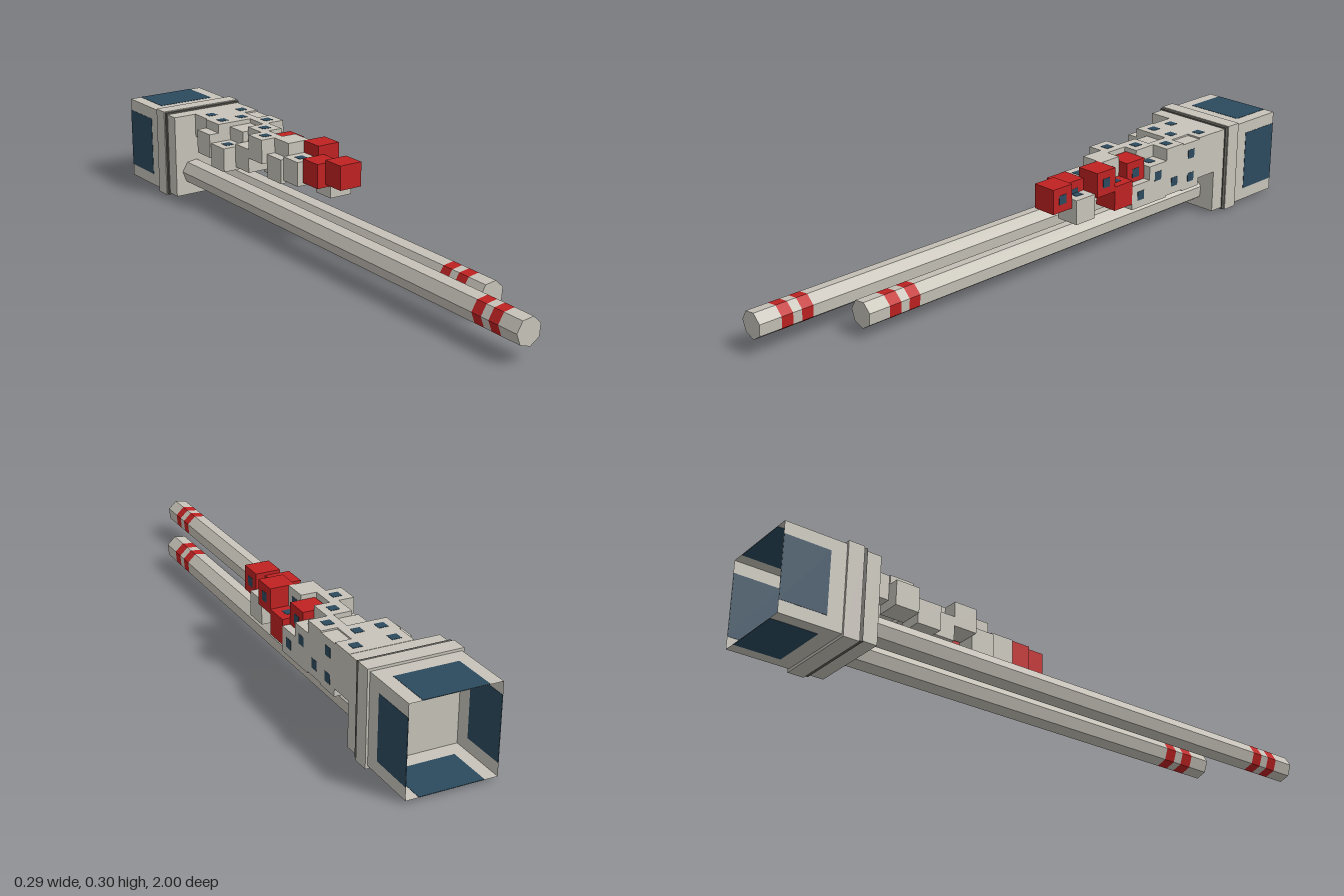
import * as THREE from 'three';

const mat = (color, extra = {}) =>
  new THREE.MeshStandardMaterial({ color, flatShading: true, ...extra });

export function createModel() {
  const model = new THREE.Group();
  const grey = mat(0xc8c4ba);
  const shell = mat(0xc8c4ba, { side: THREE.DoubleSide });
  const dark = mat(0x5f5d57);
  const red = mat(0xc02222);
  const glass = mat(0x2c4a5e);

  const add = (name, geometry, material, x, y, z, parent = model) => {
    const mesh = new THREE.Mesh(geometry, material);
    mesh.name = name;
    mesh.position.set(x, y, z);
    parent.add(mesh);
    return mesh;
  };
  const box = (name, w, h, d, material, x, y, z, parent) =>
    add(name, new THREE.BoxGeometry(w, h, d), material, x, y, z, parent);

  // Square housing, open at the back
  const tube = new THREE.CylinderGeometry(0.14 * Math.SQRT2, 0.14 * Math.SQRT2, 0.2, 4, 1, true, Math.PI / 4);
  tube.rotateX(Math.PI / 2);
  add('housing', tube, shell, 0, 0.149, -0.9);

  // Collar, dark gasket and front block
  box('collar', 0.294, 0.297, 0.052, grey, 0, 0.1485, -0.776);
  box('gasket', 0.288, 0.29, 0.012, dark, 0, 0.149, -0.744);
  box('frontBlock', 0.28, 0.28, 0.05, grey, 0, 0.149, -0.715);

  // Large panels on the four housing sides
  for (const s of [-1, 1]) {
    box('sidePanel', 0.002, 0.2, 0.147, glass, s * 0.14, 0.149, -0.9255);
    box('flatPanel', 0.2, 0.002, 0.147, glass, 0, 0.149 + s * 0.14, -0.9255);
  }

  // Seven-sided rods, each split into plain and red lengths
  const rod = (name, x, y, stops) => {
    const group = new THREE.Group();
    group.name = name;
    model.add(group);
    for (let i = 0; i < stops.length - 1; i++) {
      const length = stops[i + 1] - stops[i];
      const g = new THREE.CylinderGeometry(0.043, 0.043, length, 7, 1, false, THREE.MathUtils.degToRad(162));
      g.rotateX(Math.PI / 2);
      add(i % 2 ? 'redBand' : 'rodLength', g, i % 2 ? red : grey, x, y, (stops[i] + stops[i + 1]) / 2, group);
    }
  };
  rod('longRod', -0.072, 0.089, [-0.69, 0.822, 0.86, 0.89, 0.928, 1]);
  rod('shortRod', 0.048, 0.069, [-0.69, 0.538, 0.577, 0.607, 0.648, 0.72]);

  // Cluster of cubes: x, y, row, then r = red, t = top window, s = side window
  const cubes = [
    [-0.02, 0.25, 0, 't'], [0.04, 0.25, 0, ''], [0.1, 0.25, 0, 't'],
    [0.1, 0.19, 0, ''], [0.02, 0.19, 0, ''],
    [-0.025, 0.25, 1, 't'], [0.05, 0.25, 1, 't'], [0.1, 0.245, 1, 's'],
    [0.1, 0.165, 1, 's'], [-0.06, 0.22, 1, ''],
    [-0.055, 0.19, 2, 't'], [0.02, 0.235, 2, ''], [0.1, 0.25, 2, 't'], [0.1, 0.17, 2, 's'],
    [0.04, 0.25, 3, 't'], [0.1, 0.21, 3, 'ts'], [-0.01, 0.2, 3, ''], [0.1, 0.165, 3, ''],
    [-0.01, 0.25, 4, 't'], [0.075, 0.235, 4, 'rs'], [0.1, 0.165, 4, 's'],
    [0.04, 0.25, 5, 's'], [0.1, 0.185, 5, 'rt'], [0.01, 0.2, 5, ''],
    [0.02, 0.21, 6, 'ts'], [0.1, 0.25, 6, 'rs'],
    [0.04, 0.22, 7, 'rs'], [0.09, 0.18, 7, 't'],
    [0.07, 0.23, 8, 'rs'],
  ];
  const cluster = new THREE.Group();
  cluster.name = 'cubeCluster';
  model.add(cluster);
  for (const [x, y, row, flags] of cubes) {
    const z = -0.65 + row * 0.08;
    box('cube', 0.08, 0.08, 0.08, flags.includes('r') ? red : grey, x, y, z, cluster);
    if (flags.includes('t')) box('topWindow', 0.03, 0.002, 0.03, glass, x, y + 0.04, z, cluster);
    if (flags.includes('s')) box('sideWindow', 0.002, 0.03, 0.03, glass, x + 0.04, y, z, cluster);
  }
  return model;
}
